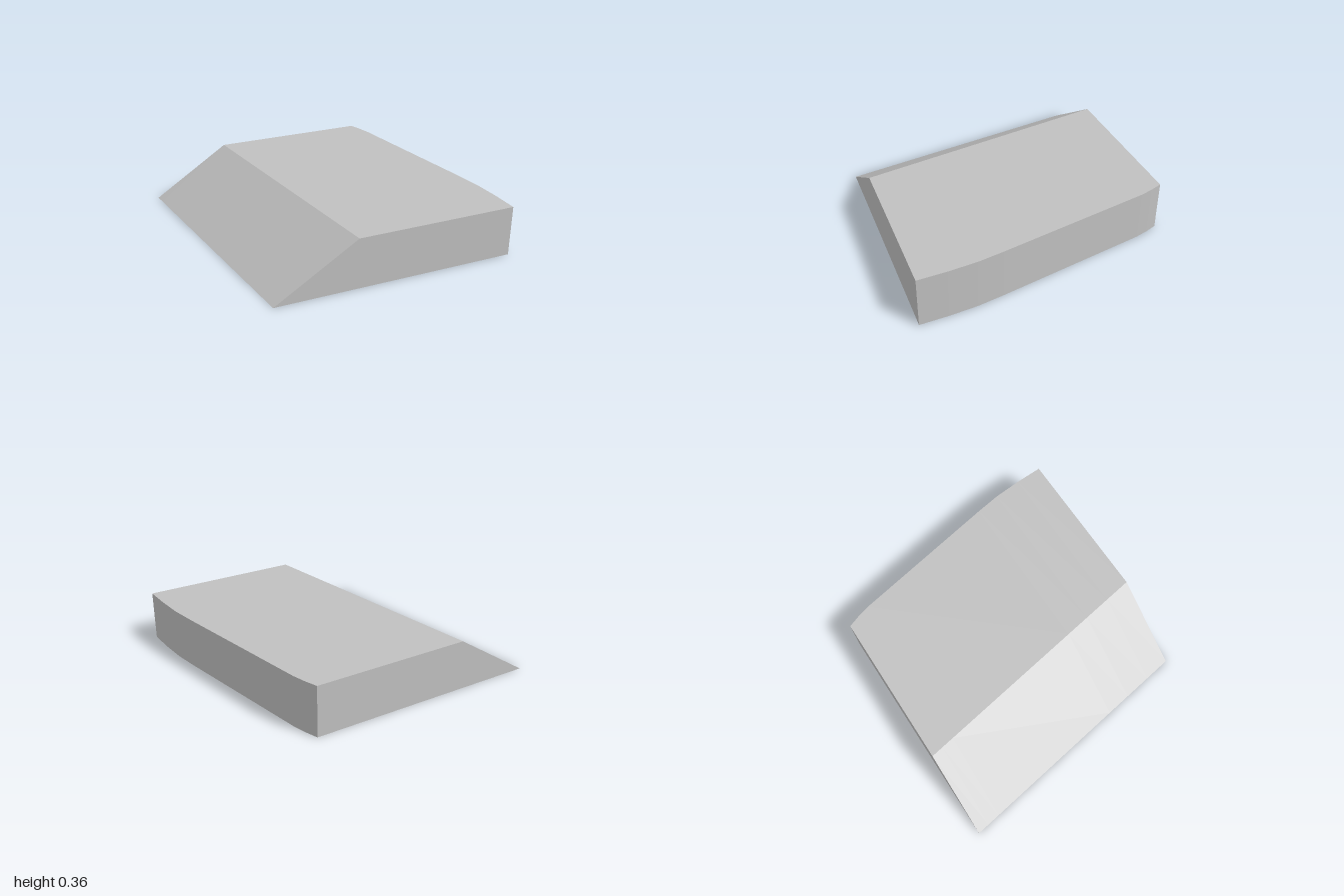
import * as THREE from 'three';

const HEIGHT = 0.36;
const BACK = -0.917, FRONT = 0.917;

// Gently curved right edge in plan: [x, z] from back to front
const rightEdge = [
  [0.667, BACK], [0.7, -0.83], [0.727, -0.74], [0.942, 0.34],
  [0.974, 0.52], [0.992, 0.72], [1, FRONT],
];

// Cross-section at depth z, anticlockwise seen from the front
function section([x, z]) {
  const t = (z - BACK) / (FRONT - BACK);
  const footX = THREE.MathUtils.lerp(-1, -0.708, t);
  const crestX = THREE.MathUtils.lerp(-0.447, -0.132, t);
  return [[footX, 0, z], [x, 0, z], [x, HEIGHT, z], [crestX, HEIGHT, z]];
}

function wedgeGeometry() {
  const points = [];
  const quad = (a, b, c, d) => points.push(...a, ...b, ...c, ...a, ...c, ...d);
  const rings = rightEdge.map(section);

  // Bottom, right wall, top and sloping left face
  for (let s = 0; s < rings.length - 1; s++) {
    const a = rings[s], b = rings[s + 1];
    for (let i = 0; i < 4; i++) {
      const j = (i + 1) % 4;
      quad(a[i], a[j], b[j], b[i]);
    }
  }

  // Front and back ends
  quad(...rings[rings.length - 1]);
  quad(...rings[0].slice().reverse());

  const geometry = new THREE.BufferGeometry();
  geometry.setAttribute('position', new THREE.Float32BufferAttribute(points, 3));
  geometry.computeVertexNormals();
  return geometry;
}

export function createModel() {
  const grey = new THREE.MeshStandardMaterial({ color: 0xc0c0c0 });
  grey.name = 'light grey';

  const wedge = new THREE.Mesh(wedgeGeometry(), grey);
  wedge.name = 'slopedBlock';

  const model = new THREE.Group();
  model.name = 'wedgeBlock';
  model.add(wedge);
  return model;
}
